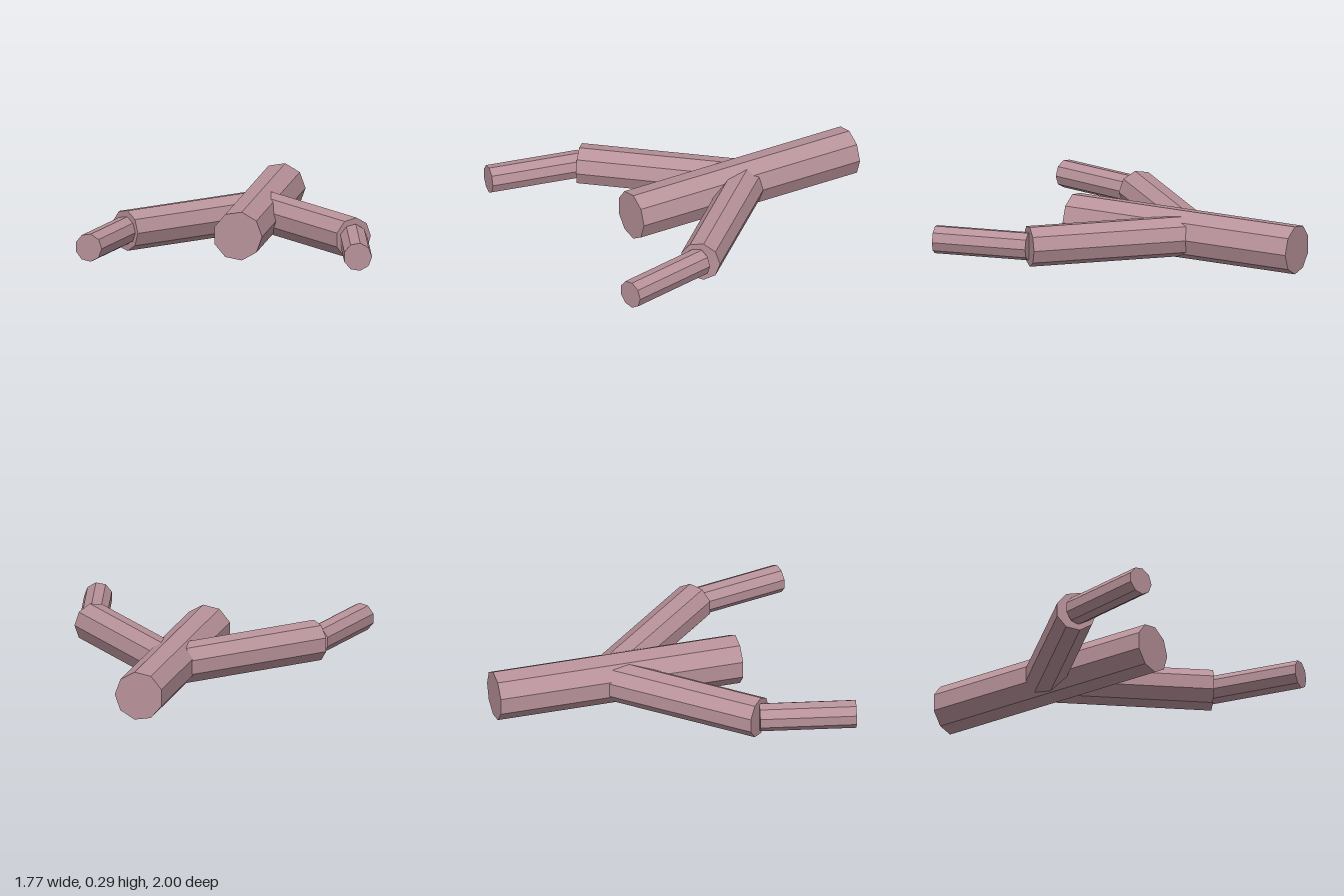
import * as THREE from 'three';

const SIDES = 9;
const AXIS_Y = 0.147;

const bark = new THREE.MeshStandardMaterial({ color: 0xb8929a, flatShading: true });
bark.name = 'dusty pink bark';

// Nine-sided log lying between two [x, z] points, one edge facing +x
function log(name, radius, [x0, z0], [x1, z1]) {
  const dx = x1 - x0, dz = z1 - z0;
  const geometry = new THREE.CylinderGeometry(radius, radius, Math.hypot(dx, dz), SIDES, 1, false, Math.PI / 2);
  geometry.rotateX(Math.PI / 2);
  const mesh = new THREE.Mesh(geometry, bark);
  mesh.name = name;
  mesh.rotation.y = Math.atan2(dx, dz);
  mesh.position.set((x0 + x1) / 2, AXIS_Y, (z0 + z1) / 2);
  return mesh;
}

export function createModel() {
  const model = new THREE.Group();
  model.name = 'forkedBranch';

  // Main stem
  model.add(log('stem', 0.147, [0, -1], [0, 0.485]));

  // Side branches, each ending in a thinner twig
  for (const [side, s] of [['left', 1], ['right', -1]]) {
    const root = [0.05 * s, -0.26], joint = [0.68 * s, 0.423], tip = [0.803 * s, 0.978];
    model.add(log(side + 'Branch', 0.122, root, joint));
    model.add(log(side + 'Twig', 0.084, joint, tip));
  }
  return model;
}
